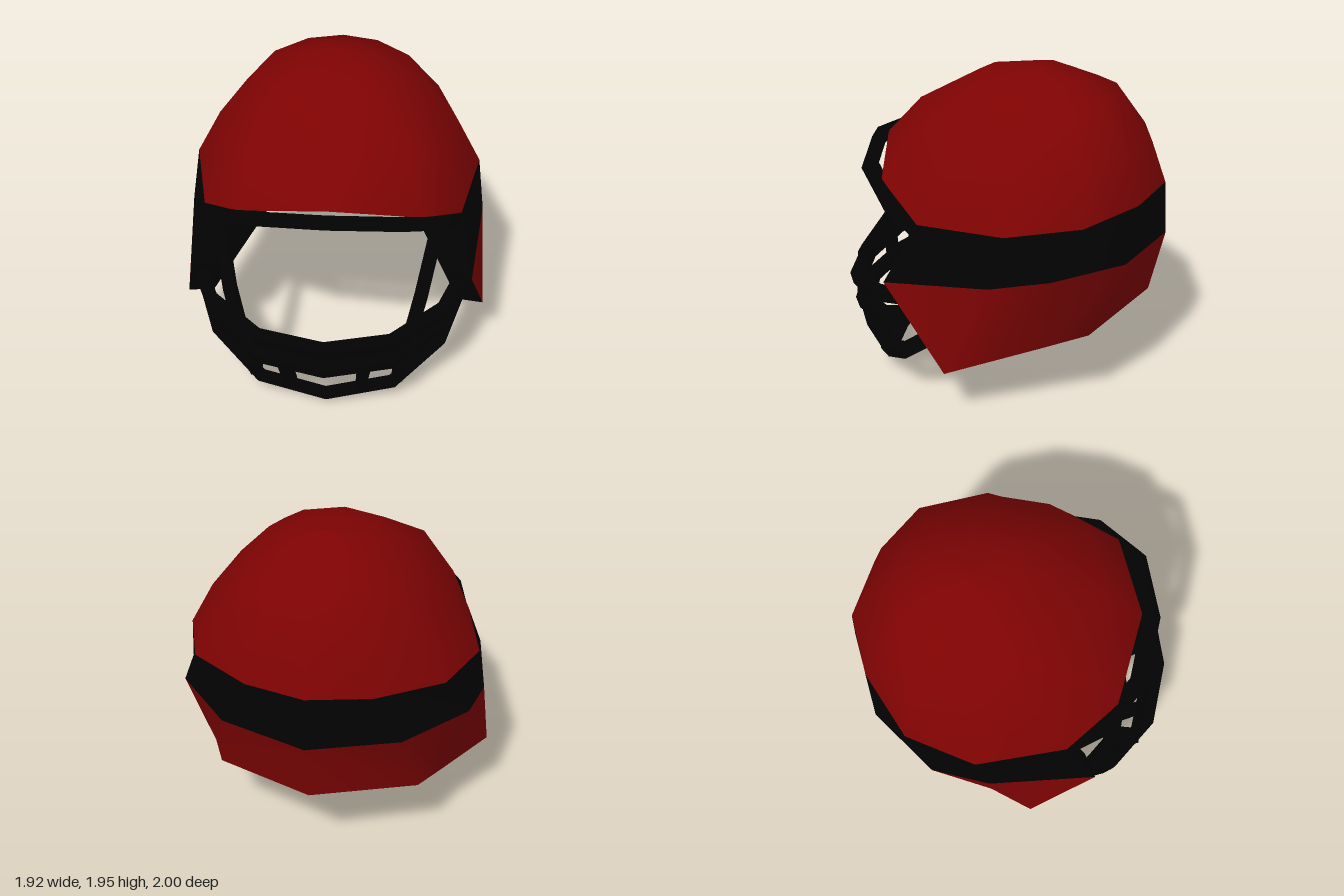
import * as THREE from 'three';

const V = (p) => new THREE.Vector3(...p);

// Half a cross-section (model's left, front to back) mirrored to a full one.
// Centre points are shared; a first point off the centre line leaves the front open.
function mirrored(half) {
  const other = half.filter((p) => p[0] !== 0).map(([x, y, z]) => [-x, y, z]).reverse();
  return [...half, ...other];
}

// Skin between cross-sections listed from low to high, with mirrored diagonals
function loft(rows, closed, flat = false) {
  const n = rows[0].length;
  const index = [];
  for (let r = 0; r < rows.length - 1; r++) {
    for (let c = 0; c < (closed ? n : n - 1); c++) {
      const d = (c + 1) % n;
      const a = r * n + c, b = r * n + d, e = a + n, f = b + n;
      if (c < n >> 1) index.push(a, b, f, a, f, e);
      else index.push(a, b, e, b, f, e);
    }
  }
  let geo = new THREE.BufferGeometry();
  geo.setAttribute('position', new THREE.Float32BufferAttribute(rows.flat(2), 3));
  geo.setIndex(index);
  if (flat) geo = geo.toNonIndexed();
  geo.computeVertexNormals();
  return geo;
}

// Square bar with mitred corners along a path
function bar(path, size, up) {
  const pts = path.map(V);
  const corners = [[-1, -1], [1, -1], [1, 1], [-1, 1]];
  const rows = pts.map((p, i) => {
    const t = new THREE.Vector3();
    if (i > 0) t.add(p.clone().sub(pts[i - 1]).normalize());
    if (i < pts.length - 1) t.add(pts[i + 1].clone().sub(p).normalize());
    t.normalize();
    const side = new THREE.Vector3().crossVectors(up, t).normalize();
    const top = new THREE.Vector3().crossVectors(t, side);
    return corners.map(([a, b]) =>
      p.clone().addScaledVector(side, a * size / 2).addScaledVector(top, b * size / 2).toArray());
  });
  // collapsed end rows close the bar
  const first = pts[0].toArray(), last = pts[pts.length - 1].toArray();
  rows.unshift(corners.map(() => first));
  rows.push(corners.map(() => last));
  return loft(rows, true, true);
}

export function createModel() {
  const red = new THREE.MeshStandardMaterial({ color: 0x7e0303 });
  red.name = 'shell red';
  const black = new THREE.MeshStandardMaterial({ color: 0x020202, side: THREE.DoubleSide });
  black.name = 'matte black';

  const helmet = new THREE.Group();
  helmet.name = 'helmet';
  const add = (name, geo, mat) => {
    const mesh = new THREE.Mesh(geo, mat);
    mesh.name = name;
    helmet.add(mesh);
    return mesh;
  };

  // Half cross-sections of the shell, front to back
  const domeEdge = [[0, 1.46, 0.77], [0.53, 1.35, 0.64], [0.77, 1.19, 0.35], [0.89, 1.22, -0.19],
    [0.74, 1.25, -0.61], [0.37, 1.265, -0.87], [0, 1.28, -0.98]];
  const domeLow = [[0, 1.7, 0.55], [0.45, 1.655, 0.455], [0.67, 1.53, 0.2], [0.74, 1.5, -0.2],
    [0.62, 1.52, -0.59], [0.34, 1.53, -0.8], [0, 1.53, -0.89]];
  const domeHigh = [[0, 1.91, 0.17], [0.25, 1.88, 0.14], [0.43, 1.82, 0], [0.5, 1.78, -0.22],
    [0.42, 1.79, -0.48], [0.22, 1.81, -0.63], [0, 1.82, -0.67]];
  const domeCap = [[0, 1.935, -0.02], [0.13, 1.93, -0.05], [0.21, 1.92, -0.12], [0.24, 1.92, -0.23],
    [0.2, 1.9, -0.36], [0.1, 1.89, -0.43], [0, 1.89, -0.45]];
  const bandEdge = [[0.848, 0.838, 0.54], [0.93, 0.91, -0.11], [0.87, 0.965, -0.46],
    [0.53, 0.96, -0.83], [0, 0.95, -1]];
  const jawEdge = [[0.96, 0.34, 0.15], [0.845, 0.395, -0.11], [0.73, 0.45, -0.37],
    [0.61, 0.51, -0.64], [0, 0.55, -0.91]];

  // Outer shell
  const apex = Array(12).fill([0, 1.955, -0.24]);
  const dome = [domeEdge, domeLow, domeHigh, domeCap].map(mirrored);
  const band = [bandEdge, domeEdge.slice(2)].map(mirrored);
  const lower = [jawEdge, bandEdge].map(mirrored);
  add('dome', loft([...dome, apex], true), red);
  add('band', loft(band, false), black);
  add('lowerShell', loft(lower, false), red);

  // Inner liner, the shell pulled inwards
  const inset = (row) => row.map(([x, y, z]) =>
    [x * 0.83, y > 1.2 ? 1.2 + (y - 1.2) * 0.91 : y, -0.1 + (z + 0.1) * 0.9]);
  add('linerDome', loft([...dome, apex].map(inset), true), black);
  add('linerSides', loft([lower[0], ...band].map(inset), false), black);

  // Rim joining shell and liner round the whole opening
  const opening = mirrored([...domeEdge.slice(0, 3), bandEdge[0], ...jawEdge]);
  add('rim', loft([inset(opening), opening], true, true), black);

  // Crosswise bars, each lying in its own tilted plane
  const crossBar = (name, half, up) => {
    const left = [...half].reverse();
    const right = half.slice(1).map(([x, y, z]) => [-x, y, z]);
    return add(name, bar([...left, ...right], 0.078, V(up)), black);
  };
  crossBar('browBar', [[0, 1.425, 0.83], [0.4, 1.38, 0.755], [0.66, 1.24, 0.53], [0.73, 1.14, 0.36]],
    [0, 0.85, -0.53]);
  const cage = [
    crossBar('upperFaceBar', [[0, 0.585, 0.955], [0.4, 0.61, 0.88], [0.7, 0.675, 0.64], [0.8, 0.73, 0.42]],
      [0, 0.96, 0.26]),
    crossBar('middleFaceBar', [[0, 0.42, 0.93], [0.4, 0.445, 0.85], [0.69, 0.53, 0.61], [0.8, 0.62, 0.32]],
      [0, 0.94, 0.32]),
    crossBar('chinBar', [[0, 0.057, 0.755], [0.41, 0.12, 0.69], [0.7, 0.3, 0.48], [0.81, 0.5, 0.25]],
      [0, 0.74, 0.67]),
  ];

  // Upright bars on both sides
  for (const [s, label] of [[1, 'left'], [-1, 'right']]) {
    const flip = ([x, y, z]) => [s * x, y, z];
    const inner = [[0.27, 0.57, 0.89], [0.25, 0.43, 0.87], [0.225, 0.27, 0.82], [0.22, 0.1, 0.72]];
    const outer = [[0.64, 1.21, 0.53], [0.56, 0.88, 0.76], [0.5, 0.58, 0.8], [0.45, 0.33, 0.77], [0.44, 0.15, 0.67]];
    cage.push(add(label + 'InnerPost', bar(inner.map(flip), 0.07, V([0, 0, 1])), black));
    cage.push(add(label + 'OuterPost', bar(outer.map(flip), 0.07, V([0, 0, 1])), black));
  }

  // The face cage sits slightly to the model's right
  for (const part of cage) part.position.x = -0.015;
  return helmet;
}
